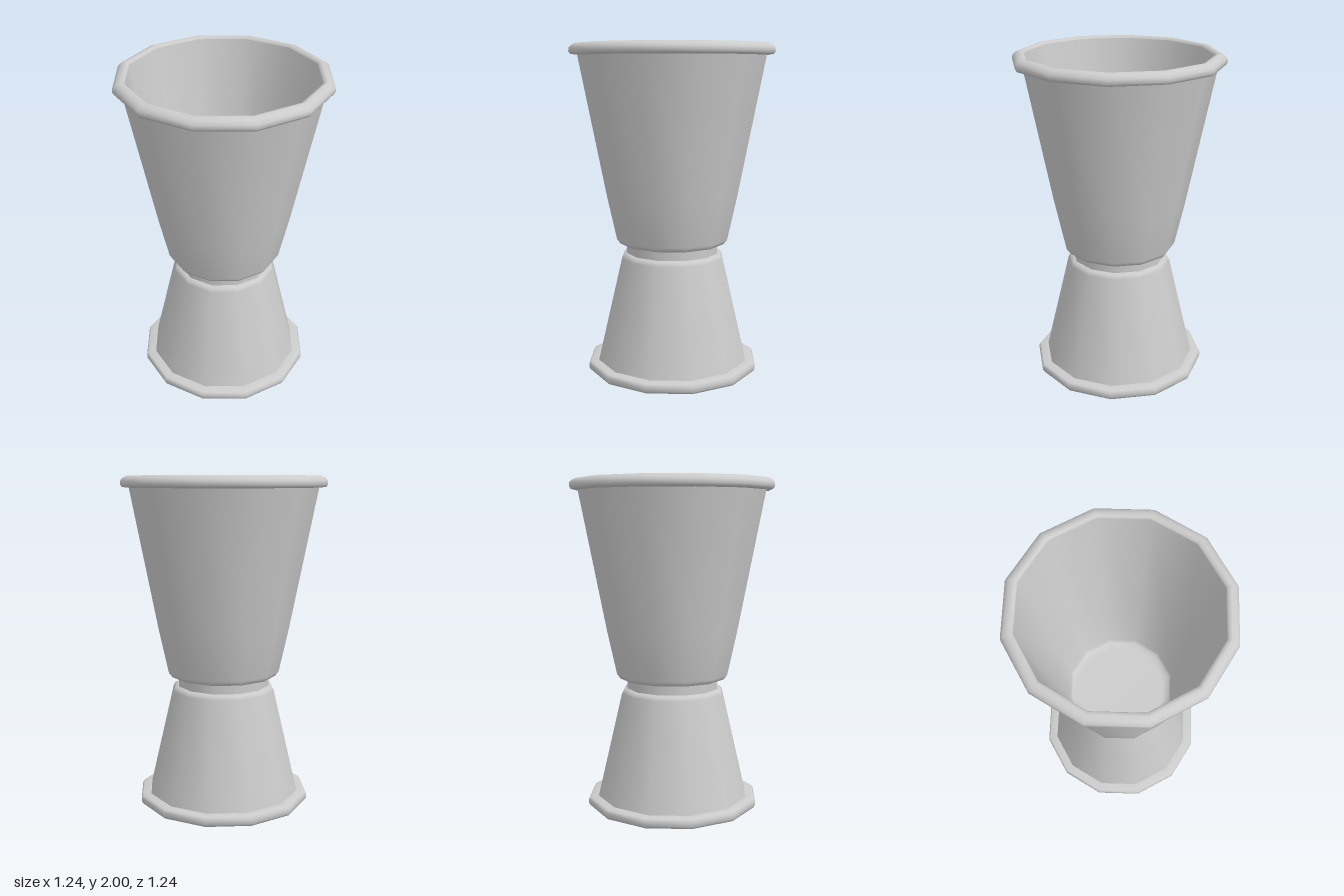
import * as THREE from 'three';

const SIDES = 12;
const material = new THREE.MeshStandardMaterial({ color: 0xcccccc, side: THREE.DoubleSide });

// Turn a [radius, height] profile; outer faces run upward, inner faces downward
function turned(name, profile) {
  const points = profile.map(([r, y]) => new THREE.Vector2(r, y));
  const mesh = new THREE.Mesh(new THREE.LatheGeometry(points, SIDES), material);
  mesh.name = name;
  return mesh;
}

export function createModel() {
  const model = new THREE.Group();
  model.name = 'doubleMeasuringCup';

  // Large upper cup
  const largeCup = new THREE.Group();
  largeCup.name = 'largeCup';
  largeCup.add(
    turned('largeCupOuterWall', [
      [0, 0.79], [0.28, 0.79], [0.325, 0.797], [0.347, 0.825], [0.405, 1.09], [0.57, 1.935],
    ]),
    turned('largeCupInnerWall', [
      [0.55, 1.985], [0.385, 1.09], [0.328, 0.85], [0.315, 0.825], [0.275, 0.81], [0, 0.81],
    ]),
    turned('largeCupRim', [
      [0.56, 1.93], [0.61, 1.935], [0.62, 1.95], [0.618, 1.972], [0.6, 1.99],
      [0.575, 2], [0.557, 1.997], [0.55, 1.985],
    ]),
  );

  // Narrow neck joining the two cups
  const neck = turned('neck', [[0.285, 0.725], [0.285, 0.8]]);

  // Small inverted lower cup
  const smallCup = new THREE.Group();
  smallCup.name = 'smallCup';
  smallCup.add(
    turned('smallCupOuterWall', [
      [0.47, 0.06], [0.318, 0.705], [0.306, 0.727], [0.28, 0.737], [0, 0.737],
    ]),
    turned('smallCupInnerWall', [
      [0, 0.717], [0.26, 0.717], [0.288, 0.705], [0.3, 0.685], [0.455, 0.015],
    ]),
    turned('smallCupRim', [
      [0.455, 0.015], [0.463, 0.003], [0.48, 0], [0.52, 0.005], [0.53, 0.02],
      [0.531, 0.045], [0.52, 0.062], [0.465, 0.065],
    ]),
  );

  model.add(largeCup, neck, smallCup);
  return model;
}
